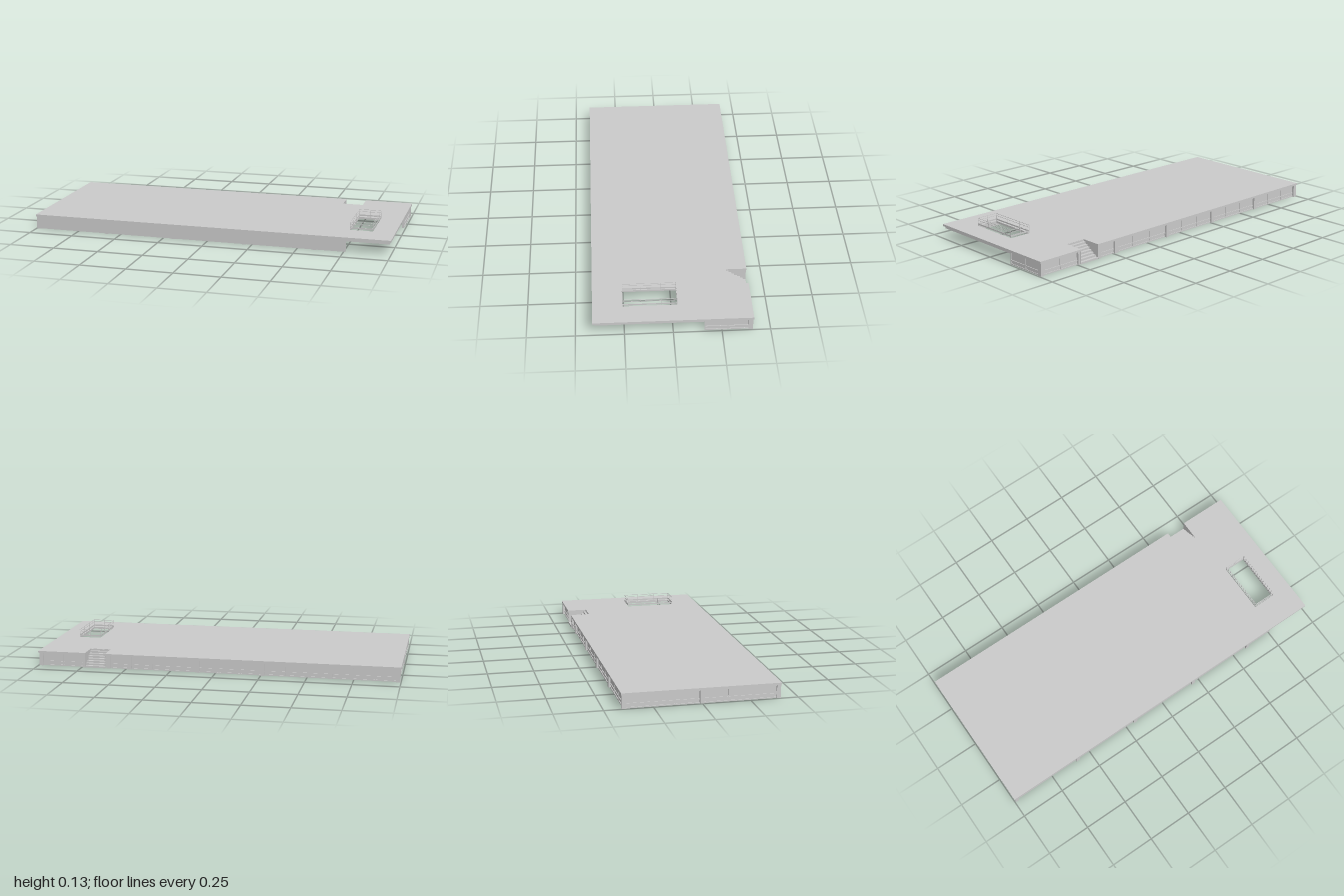
import * as THREE from 'three';

const material = new THREE.MeshStandardMaterial({ color: 0xcccccc, side: THREE.DoubleSide, flatShading: true });

export function createModel() {
  const model = new THREE.Group();

  // Box given by its extents on each axis
  function box(name, x0, x1, y0, y1, z0, z1, parent = model) {
    const mesh = new THREE.Mesh(new THREE.BoxGeometry(x1 - x0, y1 - y0, z1 - z0), material);
    mesh.position.set((x0 + x1) / 2, (y0 + y1) / 2, (z0 + z1) / 2);
    mesh.name = name;
    parent.add(mesh);
    return mesh;
  }

  const roofBase = 0.071, roofTop = 0.082;
  const stair = { x0: 0.615, x1: 0.73, z0: -0.41, z1: -0.3 };
  const well = { x0: 0.757, x1: 0.88, z0: -0.027, z1: 0.255 };

  // Flat roof with a stair notch in the back edge and an open light well
  const outline = new THREE.Shape([
    [-1, -0.412], [1, -0.412], [1, 0.412], [stair.x1, 0.412], [stair.x1, -stair.z1],
    [stair.x0, -stair.z1], [stair.x0, 0.412], [-1, 0.412],
  ].map(([x, y]) => new THREE.Vector2(x, y)));
  outline.holes.push(new THREE.Path([
    [well.x0, -well.z0], [well.x1, -well.z0], [well.x1, -well.z1], [well.x0, -well.z1],
  ].map(([x, y]) => new THREE.Vector2(x, y))));
  const roofGeometry = new THREE.ExtrudeGeometry(outline, { depth: roofTop - roofBase, bevelEnabled: false });
  roofGeometry.rotateX(-Math.PI / 2);
  roofGeometry.translate(0, roofBase, 0);
  const roof = new THREE.Mesh(roofGeometry, material);
  roof.name = 'roof';
  model.add(roof);

  // Solid front wall with projecting columns
  box('frontWall', -0.99, 0.76, 0, roofBase, 0.392, 0.4);
  for (const x of [-0.985, -0.58, -0.19, 0.21, 0.595]) {
    box('frontColumn', x - 0.011, x + 0.011, 0, roofBase, 0.388, 0.409);
  }

  // Header beams over the open front corner
  box('frontHeader', 0.76, 0.99, 0.059, roofBase, 0.39, 0.402);
  box('sideHeader', 0.98, 0.992, 0.059, roofBase, -0.16, 0.402);

  // Glazed bay of a given length, built along x and centred on its own origin
  function glazedBay(name, length, panes) {
    const bay = new THREE.Group();
    const h = length / 2;
    bay.name = name;
    box('glass', -h, h, 0, roofBase, -0.002, 0.002, bay);
    box('bottomRail', -h, h, 0, 0.006, -0.006, 0.006, bay);
    box('sill', -h, h, 0.021, 0.026, -0.006, 0.006, bay);
    box('topRail', -h, h, 0.064, roofBase, -0.006, 0.006, bay);
    for (let i = 0; i <= panes; i++) {
      const x = THREE.MathUtils.lerp(-h + 0.0025, h - 0.0025, i / panes);
      box('mullion', x - 0.0025, x + 0.0025, 0, roofBase, -0.006, 0.006, bay);
    }
    model.add(bay);
    return bay;
  }

  // Back glazing on both sides of the stair
  const backStops = [-0.985, -0.625, -0.26, 0.1, 0.48, 0.6];
  backStops.forEach((x, i) => {
    box('backColumn', x - 0.011, x + 0.011, 0, roofBase, -0.409, -0.386);
    if (i === 0) return;
    const previous = backStops[i - 1];
    glazedBay('backWindow', x - previous, i === 5 ? 1 : 3).position.set((x + previous) / 2, 0, -0.395);
  });
  glazedBay('backCornerWindow', 0.25, 2).position.set(0.86, 0, -0.395);
  box('stairColumn', 0.732, 0.748, 0, roofBase, -0.409, -0.386);
  box('backCornerColumn', 0.974, 0.995, 0, roofBase, -0.409, -0.386);

  // Glazed ends
  for (const z of [-0.2, 0.2]) {
    const bay = glazedBay('rightEndWindow', 0.385, 3);
    bay.rotation.y = Math.PI / 2;
    bay.position.set(-0.985, 0, z);
  }
  box('rightEndColumn', -0.996, -0.974, 0, roofBase, -0.011, 0.011);
  const leftBay = glazedBay('leftEndWindow', 0.24, 2);
  leftBay.rotation.y = Math.PI / 2;
  leftBay.position.set(0.985, 0, -0.28);

  // Outside stair: treads and risers, closed by triangular cheeks
  const steps = 7;
  const run = (stair.z1 - stair.z0) / steps;
  const rise = roofTop / (steps + 1);
  for (let i = 0; i < steps; i++) {
    const z = stair.z0 + i * run, y = (i + 1) * rise;
    box('tread', stair.x0, stair.x1, y - 0.002, y, z, z + run);
    box('riser', stair.x0, stair.x1, y - rise, y, z, z + 0.002);
  }
  box('topRiser', stair.x0, stair.x1, roofTop - rise, roofTop - 0.001, stair.z1 - 0.002, stair.z1);
  const cheekShape = new THREE.Shape([
    new THREE.Vector2(-stair.z0, 0), new THREE.Vector2(-stair.z0, roofBase),
    new THREE.Vector2(-stair.z1, roofBase),
  ]);
  for (const x of [stair.x0, stair.x1]) {
    const cheek = new THREE.Mesh(new THREE.ShapeGeometry(cheekShape), material);
    cheek.rotation.y = Math.PI / 2;
    cheek.position.x = x;
    cheek.name = 'stairCheek';
    model.add(cheek);
  }

  // Guard rail round the light well: slim rails, a deep lower board and posts
  const guard = new THREE.Group();
  guard.name = 'guardRail';
  model.add(guard);
  const t = 0.001;
  for (const [y0, y1] of [[0.089, 0.097], [0.113, 0.115], [0.125, 0.127]]) {
    for (const x of [well.x0, well.x1]) box('rail', x - t, x + t, y0, y1, well.z0, well.z1, guard);
    for (const z of [well.z0, well.z1]) box('rail', well.x0, well.x1, y0, y1, z - t, z + t, guard);
  }
  const post = (x, z) => box('post', x - t, x + t, roofTop, 0.127, z - t, z + t, guard);
  for (const x of [well.x0, well.x1]) {
    for (const z of [well.z0, 0.055, 0.16, well.z1]) post(x, z);
  }
  for (const z of [well.z0, well.z1]) post((well.x0 + well.x1) / 2, z);

  return model;
}
